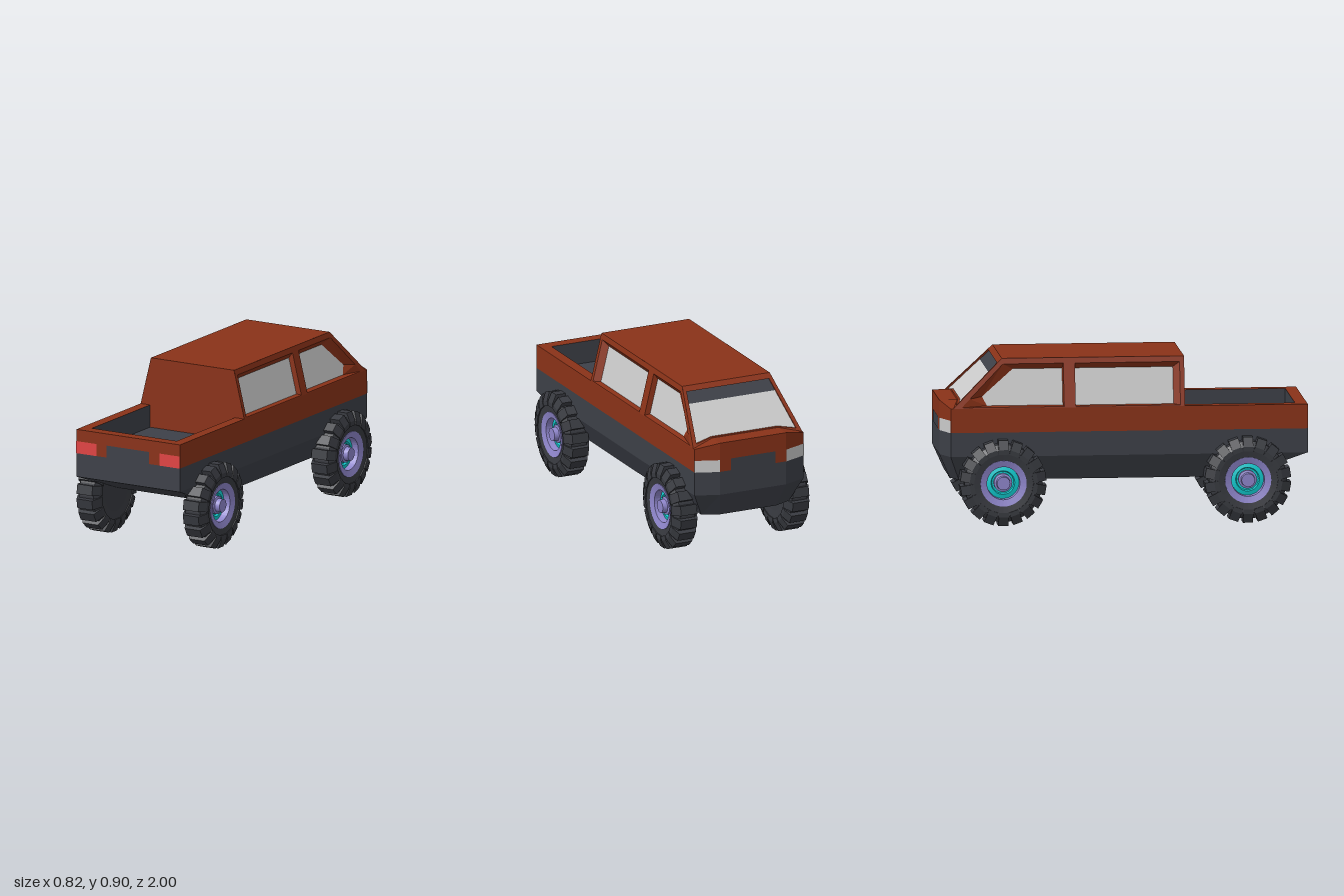
import * as THREE from 'three';
import { mergeGeometries } from 'three/addons/utils/BufferGeometryUtils.js';

const mat = (color) => new THREE.MeshStandardMaterial({ color, flatShading: true, side: THREE.DoubleSide });
const paint = mat(0x8a3218), cladding = mat(0x3d4048), glass = mat(0xcccccc), red = mat(0xe04444);
const rubber = mat(0x383a40), purple = mat(0x8f86cc), cyan = mat(0x12d0d4);

function add(parent, name, geometry, material) {
  const mesh = new THREE.Mesh(geometry, material);
  mesh.name = name;
  parent.add(mesh);
  return mesh;
}

// Flat convex polygons, each a list of [x, y, z] corners
function faces(...polys) {
  const pos = [];
  for (const p of polys)
    for (let i = 1; i < p.length - 1; i++) pos.push(...p[0], ...p[i], ...p[i + 1]);
  const g = new THREE.BufferGeometry();
  g.setAttribute('position', new THREE.Float32BufferAttribute(pos, 3));
  g.computeVertexNormals();
  return g;
}

// Quads joining two closed loops of equal length
const bridge = (a, b) => faces(...a.map((p, i) => {
  const j = (i + 1) % a.length;
  return [p, a[j], b[j], b[i]];
}));

// Panel from a 2D outline with holes, each point placed by map(u, v)
function panel(outline, holes, map) {
  const v2 = (l) => l.map(([u, v]) => new THREE.Vector2(u, v));
  const shape = new THREE.Shape(v2(outline));
  for (const h of holes) shape.holes.push(new THREE.Path(v2(h)));
  const g = new THREE.ShapeGeometry(shape).toNonIndexed();
  const p = g.attributes.position;
  for (let i = 0; i < p.count; i++) p.setXYZ(i, ...map(p.getX(i), p.getY(i)));
  g.computeVertexNormals();
  return g;
}

// Mirrors the right half of a symmetric [x, y] loop
const symmetric = (half) => [...half, ...half.map(([x, y]) => [-x, y]).reverse()];

const sideX = (y) => 0.33 - (y - 0.64) * 0.245;      // leaning cab side
const shieldZ = (y) => -0.665 - (0.905 - y) * 1.02;  // sloping windshield
const FLOOR = 0.515;

function buildBody(car) {
  // Plan outline with chamfered nose corners
  const ring = (y, w, tail, corner, nose, nw, noseY = y) => [
    [w, y, tail], [w, y, corner], [nw, noseY, nose],
    [-nw, noseY, nose], [-w, y, corner], [-w, y, tail]];
  const bottom = ring(0.24, 0.265, 0.64, -0.9, -0.94, 0.17);
  const sill = ring(0.375, 0.33, 1, -0.95, -1, 0.2);
  const belt = ring(0.507, 0.33, 1, -0.95, -1, 0.2);
  const top = ring(0.64, 0.33, 1, -0.95, -1, 0.2, 0.672);
  add(car, 'underbody', mergeGeometries([faces(bottom), bridge(bottom, sill)]), cladding);
  add(car, 'lowerBody', bridge(sill, belt), cladding);
  add(car, 'upperBody', bridge(belt, top), paint);

  // Hood lip in front of the windshield
  const hy = 0.672, hz = shieldZ(hy), cz = shieldZ(0.64);
  add(car, 'hood', faces(
    [[0.2, hy, -1], [-0.2, hy, -1], [-0.2, hy, hz], [0.2, hy, hz]],
    ...[1, -1].map((s) => [[s * 0.33, 0.64, -0.95], [s * 0.2, hy, -1], [s * 0.2, hy, hz], [s * 0.33, 0.64, cz]])
  ), paint);

  // Lights and centre panels at both ends
  const y0 = 0.507, y1 = 0.575;
  const plate = (xa, za, xb, zb) => faces([[xa, y0, za], [xb, y0, zb], [xb, y1, zb], [xa, y1, za]]);
  add(car, 'tailPanel', plate(-0.135, 1.002, 0.135, 1.002), cladding);
  add(car, 'nosePanel', plate(0.135, -1.002, -0.135, -1.002), cladding);
  for (const s of [1, -1]) {
    add(car, 'tailLight', plate(s * 0.2, 1.002, s * 0.33, 1.002), red);
    add(car, 'headLight', plate(s * 0.331, -0.952, s * 0.2, -1.002), glass);
  }
}

function buildBed(car) {
  const y = 0.64, w = 0.27, W = 0.33, f = 0.33, b = 0.935;
  add(car, 'bedRim', faces(
    [[-W, y, 1], [W, y, 1], [W, y, b], [-W, y, b]],
    ...[1, -1].map((s) => [[s * w, y, b], [s * W, y, b], [s * W, y, f], [s * w, y, f]])
  ), paint);
  add(car, 'bedWalls', faces(
    [[-w, y, b], [w, y, b], [w, FLOOR, b], [-w, FLOOR, b]],
    ...[1, -1].map((s) => [[s * w, y, b], [s * w, y, f], [s * w, FLOOR, f], [s * w, FLOOR, b]])
  ), cladding);
  add(car, 'bedFloor', faces([[-w, FLOOR, b], [w, FLOOR, b], [w, FLOOR, f], [-w, FLOOR, f]]), cladding);
}

function buildCab(car) {
  const r = 0.265, h = 0.905, f = 0.33;
  add(car, 'roof', faces([[-r, h, f], [r, h, f], [r, h, -0.665], [-r, h, -0.665]]), paint);
  add(car, 'cabBack', faces(
    [[-0.33, 0.64, f], [0.33, 0.64, f], [r, h, f], [-r, h, f]],
    [[-0.27, FLOOR, f], [0.27, FLOOR, f], [0.27, 0.64, f], [-0.27, 0.64, f]]
  ), paint);

  // Side windows as [z, y] loops: opening in the skin, then recessed pane
  const windows = [
    [[[0.305, 0.645], [0.305, 0.875], [-0.267, 0.875], [-0.267, 0.645]],
      [[0.27, 0.648], [0.27, 0.845], [-0.265, 0.845], [-0.265, 0.648]]],
    [[[-0.33, 0.645], [-0.33, 0.875], [-0.66, 0.875], [-0.845, 0.69], [-0.89, 0.645]],
      [[-0.335, 0.65], [-0.335, 0.845], [-0.605, 0.845], [-0.775, 0.70], [-0.75, 0.65]]]];
  const outline = [[f, 0.64], [f, h], [-0.665, h], [shieldZ(0.64), 0.64]];
  for (const s of [1, -1]) {
    const skin = (z, y) => [s * sideX(y), y, z];
    const inset = (z, y) => [s * (sideX(y) - 0.03), y, z];
    add(car, 'cabSide', panel(outline, windows.map((w) => w[0]), skin), paint);
    for (const [open, pane] of windows) {
      add(car, 'windowReveal', bridge(open.map((p) => skin(...p)), pane.map((p) => inset(...p))), paint);
      add(car, 'sideWindow', panel(pane, [], inset), glass);
    }
  }

  // Windshield frame, recessed glass and dark top band, as [x, y] loops
  const skin = (x, y) => [x, y, shieldZ(y)];
  const inset = (x, y) => [x, y, shieldZ(y) + 0.012];
  const open = symmetric([[0.25, 0.88], [0.302, 0.657], [0.2, 0.676]]);
  add(car, 'windshieldFrame', panel(symmetric([[r, h], [0.33, 0.64], [0.2, 0.672]]), [open], skin), paint);
  add(car, 'windshieldReveal', bridge(open.map((p) => skin(...p)), open.map((p) => inset(...p))), paint);
  add(car, 'windshield', panel(symmetric([[0.263, 0.825], [0.302, 0.657], [0.2, 0.676]]), [], inset), glass);
  add(car, 'windshieldBand', panel(symmetric([[0.25, 0.88], [0.263, 0.825]]), [], inset), cladding);
}

// Wheel around the x axis, outer face toward +x
function buildWheel() {
  const wheel = new THREE.Group();
  wheel.name = 'wheel';
  const turned = (pts) => new THREE.LatheGeometry(pts.map(([a, b]) => new THREE.Vector2(a, b)), 36).rotateZ(-Math.PI / 2);
  add(wheel, 'tire', turned([[0, -0.06], [0.12, -0.06], [0.18, -0.068], [0.213, -0.046],
    [0.213, 0.046], [0.18, 0.068], [0.125, 0.058], [0.12, 0], [0, 0]]), rubber);

  // Chunky tread blocks with chamfered shoulders
  const block = new THREE.Shape([[-0.071, 0.16], [0.071, 0.16], [0.071, 0.185], [0.049, 0.235],
    [-0.049, 0.235], [-0.071, 0.185]].map(([a, b]) => new THREE.Vector2(a, b)));
  const blocks = [], count = 18;
  for (let i = 0; i < count; i++) {
    const g = new THREE.ExtrudeGeometry(block, { depth: 0.054, bevelEnabled: false });
    blocks.push(g.translate(0, 0, -0.027).rotateX((i / count) * Math.PI * 2));
  }
  add(wheel, 'tread', mergeGeometries(blocks), rubber);

  add(wheel, 'rim', turned([[0.126, 0.05], [0.126, 0.062], [0.09, 0.052], [0.088, 0.01]]), purple);
  add(wheel, 'rimDish', turned([[0.09, 0.014], [0.065, 0.02], [0.06, 0.008], [0.04, 0.008]]), cyan);
  add(wheel, 'hub', turned([[0.05, 0], [0.05, 0.03], [0.038, 0.034], [0.036, 0.062], [0, 0.062]]), purple);
  return wheel;
}

export function createModel() {
  const car = new THREE.Group();
  car.name = 'pickupTruck';
  buildBody(car);
  buildBed(car);
  buildCab(car);
  for (const s of [1, -1])
    for (const z of [0.668, -0.668]) {
      const wheel = buildWheel();
      wheel.position.set(s * 0.339, 0.236, z);
      if (s < 0) wheel.rotation.y = Math.PI;
      car.add(wheel);
    }
  return car;
}
